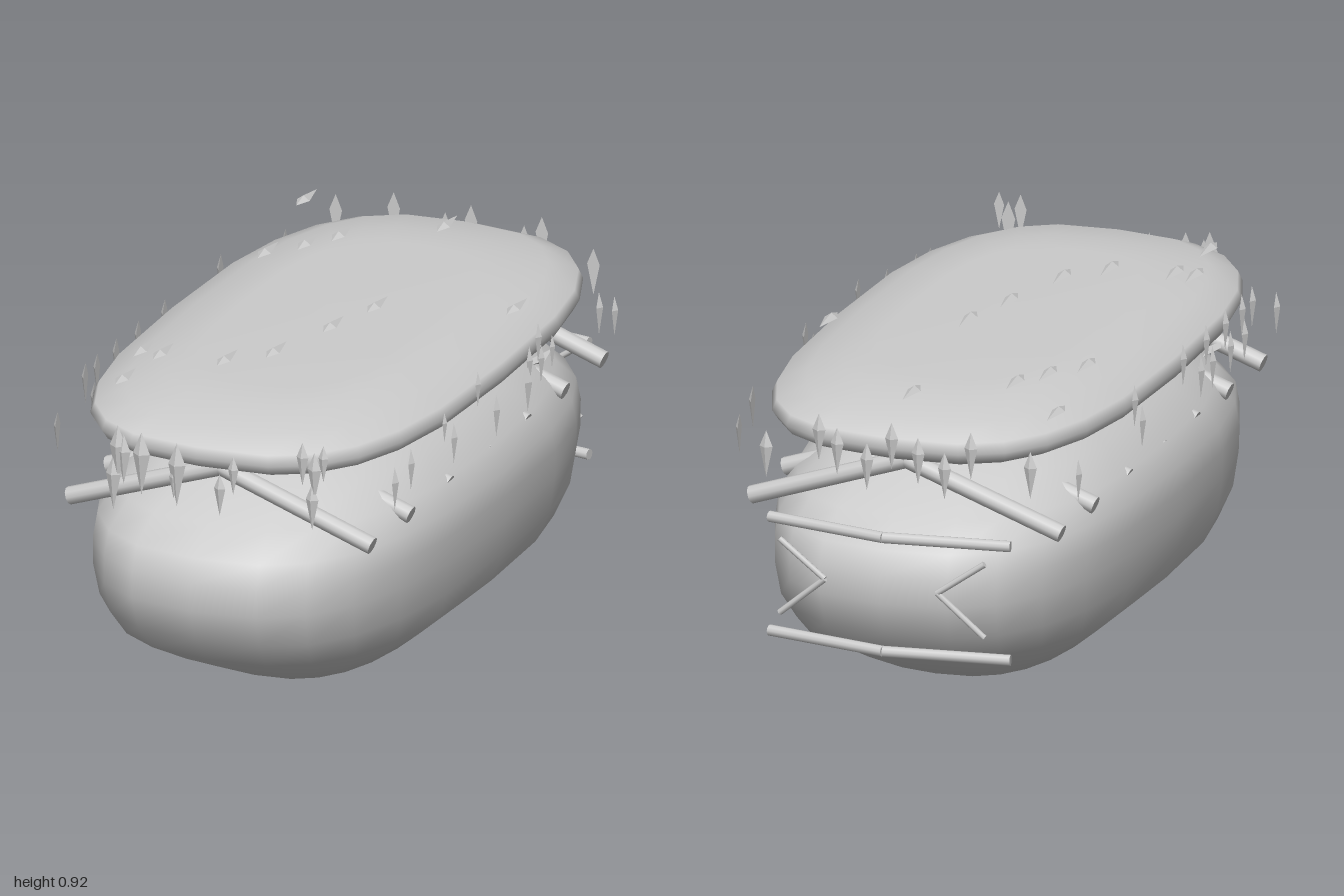
import * as THREE from 'three';
import { ConvexGeometry } from 'three/addons/geometries/ConvexGeometry.js';

const material = new THREE.MeshStandardMaterial({ color: 0xcccccc });
const flatMaterial = new THREE.MeshStandardMaterial({ color: 0xcccccc, flatShading: true });

// Smooth closed solid from stacked rounded ovals: each ring is [y, halfWidth, halfLength]
function loft(name, rings, power, segments = 24) {
  const pos = [], index = [];
  const bend = (v) => Math.sign(v) * Math.pow(Math.abs(v), 2 / power);
  for (const [y, w, l] of rings) {
    for (let i = 0; i < segments; i++) {
      const a = (i / segments) * Math.PI * 2;
      pos.push(w * bend(Math.cos(a)), y, -l * bend(Math.sin(a)));
    }
  }
  const bottom = rings.length * segments, top = bottom + 1;
  pos.push(0, rings[0][0], 0, 0, rings[rings.length - 1][0], 0);
  const last = (rings.length - 1) * segments;
  for (let i = 0; i < segments; i++) {
    const n = (i + 1) % segments;
    for (let r = 0; r < last; r += segments) {
      index.push(r + i, r + n, r + segments + n, r + i, r + segments + n, r + segments + i);
    }
    index.push(bottom, n, i, top, last + i, last + n);
  }
  const geometry = new THREE.BufferGeometry();
  geometry.setAttribute('position', new THREE.Float32BufferAttribute(pos, 3));
  geometry.setIndex(index);
  geometry.computeVertexNormals();
  const mesh = new THREE.Mesh(geometry, material);
  mesh.name = name;
  return mesh;
}

// Round bar between two points
function bar(from, to, radius, sides = 10) {
  const a = new THREE.Vector3(...from), b = new THREE.Vector3(...to);
  const d = b.clone().sub(a);
  const mesh = new THREE.Mesh(new THREE.CylinderGeometry(radius, radius, d.length(), sides), material);
  mesh.position.copy(a).add(b).multiplyScalar(0.5);
  mesh.quaternion.setFromUnitVectors(new THREE.Vector3(0, 1, 0), d.normalize());
  return mesh;
}

function named(name, ...children) {
  const group = new THREE.Group();
  group.name = name;
  if (children.length) group.add(...children);
  return group;
}

// Flat-backed kite with a raised point, long taper downwards
const shardGeometry = new ConvexGeometry([
  [0, 0.5, 0], [0, -0.5, 0], [0.14, 0.16, 0], [-0.14, 0.16, 0], [0, 0.16, 0.1],
].map((p) => new THREE.Vector3(...p)));

function shard(x, y, z, length, rx = 0, ry = 0) {
  const mesh = new THREE.Mesh(shardGeometry, flatMaterial);
  mesh.name = 'shard';
  mesh.position.set(x, y, z);
  mesh.rotation.set(rx, ry, 0, 'YXZ');
  mesh.scale.setScalar(length);
  return mesh;
}

export function createModel() {
  const model = named('model');

  // Rounded body with a flat underside
  model.add(loft('body', [
    [0, 0.29, 0.56], [0.08, 0.385, 0.73], [0.165, 0.48, 0.89], [0.25, 0.512, 0.965],
    [0.35, 0.522, 1.0], [0.43, 0.525, 0.995], [0.5, 0.518, 0.97], [0.57, 0.48, 0.88],
    [0.64, 0.41, 0.73], [0.7, 0.32, 0.57], [0.72, 0.2, 0.36],
  ], 2.7));

  // Thick padded covering
  model.add(loft('cover', [
    [0.7, 0.29, 0.6], [0.715, 0.38, 0.74], [0.745, 0.465, 0.88], [0.77, 0.51, 0.94],
    [0.8, 0.526, 0.96], [0.83, 0.512, 0.95], [0.865, 0.43, 0.87], [0.888, 0.35, 0.72],
    [0.9, 0.28, 0.58],
  ], 3));

  // Sloping rafters between body and cover
  const rafters = named('rafters');
  for (let i = -3; i <= 3; i++) {
    const z = i * 0.263;
    for (const s of [-1, 1]) rafters.add(bar([0, 0.715, z], [s * 0.47, 0.55, z], 0.026));
  }
  model.add(rafters);

  // Bent rails and chevrons on the back
  const rails = named('backRails'), chevrons = named('backChevrons');
  for (const s of [-1, 1]) {
    for (const y of [0.2, 0.54]) rails.add(bar([0, y, -0.975], [s * 0.365, y, -0.918], 0.016));
    for (const y of [0.28, 0.5]) chevrons.add(bar([s * 0.17, 0.4, -0.99], [s * 0.31, y, -0.98], 0.009, 8));
  }
  model.add(rails, chevrons);

  // Shards hanging at the front: x, centre height, length
  const frontShards = named('frontShards');
  for (const [x, y, l] of [
    [-0.243, 0.77, 0.18], [-0.257, 0.685, 0.165], [-0.225, 0.76, 0.15], [-0.17, 0.755, 0.19],
    [-0.06, 0.74, 0.19], [-0.07, 0.715, 0.1], [0.073, 0.70, 0.125], [0.115, 0.765, 0.115],
    [0.33, 0.835, 0.13], [0.395, 0.845, 0.11], [0.367, 0.80, 0.15], [0.36, 0.71, 0.14],
  ]) frontShards.add(shard(x, y, 0.957, l));

  // Shards hanging at the back
  const backShards = named('backShards');
  [0.36, 0.2, 0.145, 0.055, -0.02, -0.1, -0.18, -0.26, -0.44].forEach((x, i) => {
    backShards.add(shard(x, 0.74 + 0.035 * ((i * 2) % 3), -0.957, 0.14, 0, Math.PI));
  });

  // Shards along the left side: z, centre height, length
  const leftShards = named('leftShards');
  for (const [z, y, l] of [
    [0.755, 0.72, 0.13], [0.645, 0.74, 0.125], [0.417, 0.785, 0.09], [0.353, 0.715, 0.12],
    [0.19, 0.82, 0.105], [0.064, 0.695, 0.125], [-0.15, 0.70, 0.14], [-0.16, 0.765, 0.12],
    [-0.22, 0.815, 0.12], [-0.24, 0.745, 0.115], [-0.315, 0.755, 0.1], [-0.635, 0.755, 0.13],
    [-0.74, 0.71, 0.12],
  ]) leftShards.add(shard(0.524, y, z, l, 0, Math.PI / 2));

  // Shards along the right side
  const rightShards = named('rightShards');
  [-0.8, -0.36, -0.3, 0.02, 0.16, 0.2, 0.25, 0.35, 0.39, 0.48, 0.5, 0.56, 0.75].forEach((z, i) => {
    rightShards.add(shard(-0.524, 0.72 + 0.04 * ((i * 2) % 4), z, 0.125, 0, -Math.PI / 2));
  });

  // Shards lying on top of the cover
  const topShards = named('topShards');
  for (const [x, z] of [
    [0, -0.75], [-0.445, -0.77], [-0.24, -0.56], [-0.3, -0.46], [-0.376, -0.355], [0.445, -0.25],
    [0.08, -0.1], [0.03, 0.09], [-0.035, 0.335], [-0.135, 0.45], [-0.38, 0.48], [-0.32, 0.48],
    [-0.337, 0.7],
  ]) topShards.add(shard(x, 0.901, z, 0.14, -Math.PI / 2, Math.PI));

  // Shards under the cover's rim
  const lowerShards = named('lowerShards');
  for (const [x, z] of [[-0.445, 0.45], [0.31, 0.2], [0.38, -0.15], [0.455, -0.4]]) {
    lowerShards.add(shard(x, 0.697, z, 0.14, Math.PI / 2));
  }

  model.add(frontShards, backShards, leftShards, rightShards, topShards, lowerShards);
  return model;
}
